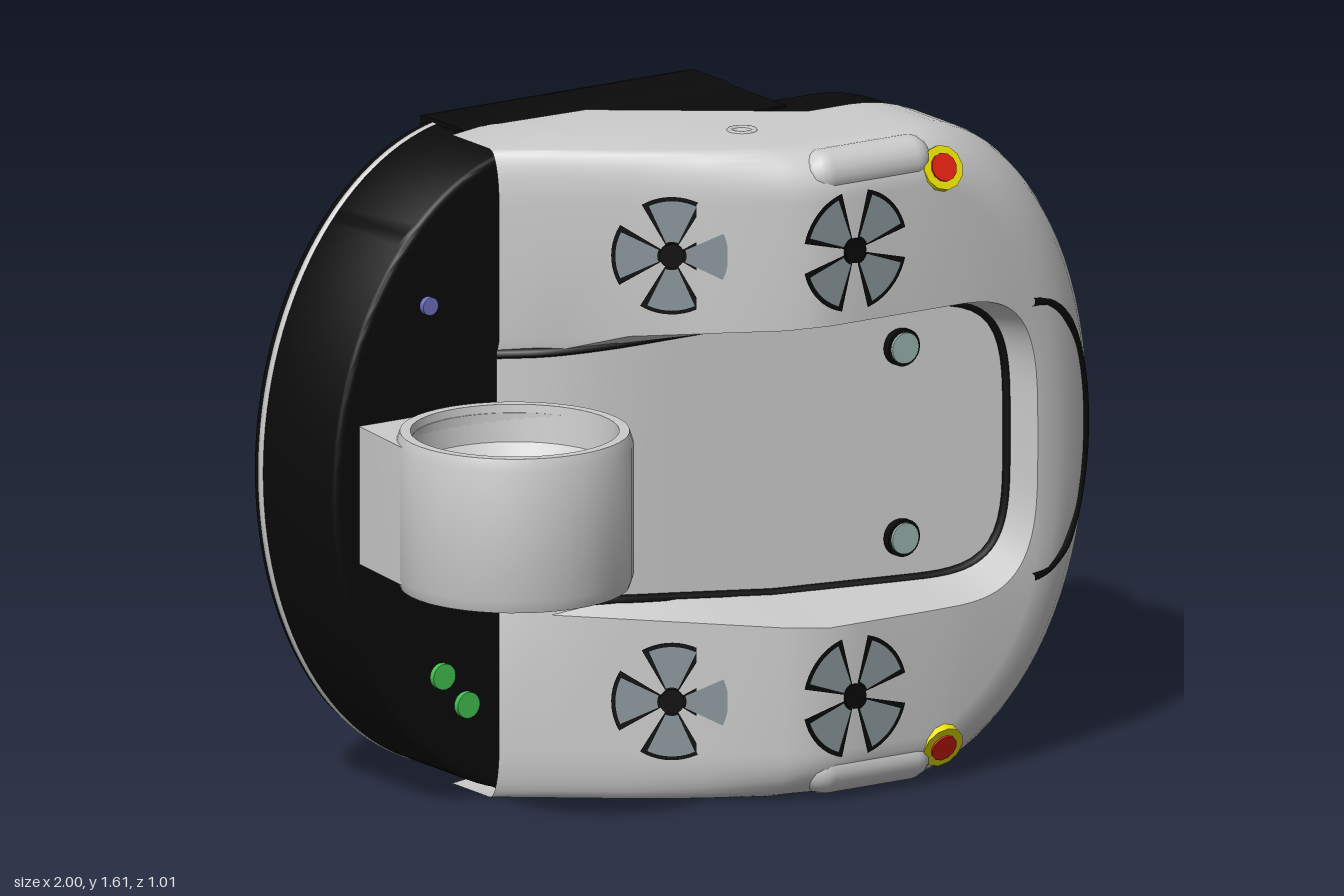
import * as THREE from 'three';
import { toCreasedNormals } from 'three/addons/utils/BufferGeometryUtils.js';

const mat = (color) => new THREE.MeshStandardMaterial({ color, side: THREE.DoubleSide });
const GREY = mat(0xcccccc), DARK = mat(0x0a0a0a), BLADE = mat(0x8a979b), BOLT = mat(0x9fb8b0);
const YELLOW = mat(0xe8e000), RED = mat(0xe02010), GREEN = mat(0x40c050), BLUE = mat(0x7070c0);
const lerp = THREE.MathUtils.lerp;

// Linear interpolation through [x, value] keys
function keyed(keys, x) {
  for (let i = 1; i < keys.length; i++) {
    const [a, va] = keys[i - 1], [b, vb] = keys[i];
    if (x <= b) return lerp(va, vb, Math.max(0, (x - a) / (b - a)));
  }
  return keys[keys.length - 1][1];
}

// Skin through equal-length cross-sections
function loft(sections) {
  const n = sections[0].length, index = [];
  for (let i = 0; i < sections.length - 1; i++)
    for (let j = 0; j < n - 1; j++) {
      const a = i * n + j, b = a + n;
      index.push(a, a + 1, b, b, a + 1, b + 1);
    }
  const g = new THREE.BufferGeometry();
  g.setAttribute('position', new THREE.Float32BufferAttribute(sections.flat(2), 3));
  g.setIndex(index);
  return toCreasedNormals(g, 0.6);
}

// Extruded plate between two z levels, with rounded edges
function plate(shape, z0, z1, bevel = 0) {
  const g = new THREE.ExtrudeGeometry(shape, {
    depth: z1 - z0 - 2 * bevel, curveSegments: 32, bevelEnabled: bevel > 0,
    bevelSize: bevel, bevelOffset: -bevel, bevelThickness: bevel, bevelSegments: 4,
  });
  g.translate(0, 0, z0 + bevel);
  return toCreasedNormals(g, 0.6);
}

const lathe = (pts, seg) =>
  toCreasedNormals(new THREE.LatheGeometry(pts.map(([r, y]) => new THREE.Vector2(r, y)), seg), 0.6);
const tube = (pts, r) => new THREE.TubeGeometry(new THREE.CatmullRomCurve3(pts), 100, r, 6);
const disc = (r, h, seg = 24) => new THREE.CylinderGeometry(r, r, h, seg).rotateX(Math.PI / 2);

// Upper surface of the lobes, lower edge of the shell sides, well floor
const topZ = (x) => keyed([[-0.55, -0.05], [0, 0.36], [0.1, 0.4], [0.4, 0.4]], x);
const baseZ = (x) => keyed([[-0.55, -0.25], [-0.45, -0.28], [-0.15, -0.27], [0.28, 0.04]], x);
const floorZ = (x, top) => Math.min(top - 0.01, 0.13 + 0.2 * x);

// Stations round the U-shaped shell: outer point, inner point, heights, edge rounding
function shellStations() {
  const side = [-0.55, -0.45, -0.3, -0.15, 0, 0.05, 0.1, 0.2, 0.28, 0.34].map((x) => ({
    o: [x, 0.8], i: [x, keyed([[-0.55, 0.3], [0.1, 0.34]], x)],
    base: baseZ(x), top: topZ(x), rz: keyed([[-0.2, 0.04], [0.1, 0.12]], x), rw: 0.26,
  }));
  const end = [];
  for (let k = 0; k <= 40; k++) {
    const t = Math.PI * (0.5 - k / 40), c = Math.max(0, Math.cos(t)), s = Math.sin(t);
    end.push({
      o: [0.4 + 0.6 * c, 0.8 * s],
      i: [0.4 + 0.3 * c ** 0.5, 0.34 * Math.sign(s) * Math.abs(s) ** 0.5],
      base: 0.04, top: lerp(0.4, 0.37, c), rz: lerp(0.12, 0.3, c), rw: lerp(0.26, 0.92, c),
    });
  }
  const flip = ({ o, i, ...r }) => ({ o: [o[0], -o[1]], i: [i[0], -i[1]], ...r });
  return [...side, ...end, ...side.map(flip).reverse()];
}

function shellSection({ o, i, base, top, rz, rw }) {
  const at = (f, z) => [lerp(o[0], i[0], f), lerp(o[1], i[1], f), z];
  const pts = [at(0, base)];
  for (let k = 0; k <= 8; k++) {
    const a = (k / 8) * Math.PI / 2;
    pts.push(at(rw * (1 - Math.cos(a)), top - rz + rz * Math.sin(a)));
  }
  return [...pts, at(0.93, top), at(1, floorZ(i[0], top))];
}

export function createModel() {
  const root = new THREE.Group(), craft = new THREE.Group();
  root.name = 'craft';
  craft.name = 'hull';
  craft.position.y = 0.8;
  root.add(craft);
  const add = (name, g, m, x = 0, y = 0, z = 0) => {
    const mesh = new THREE.Mesh(g, m);
    mesh.name = name;
    mesh.position.set(x, y, z);
    craft.add(mesh);
    return mesh;
  };

  // Front shell, sunken centre panel and its dark seams
  const st = shellStations();
  add('frontShell', loft(st.map(shellSection)), GREY);
  const seam = st.map(({ i, top }) => new THREE.Vector3(i[0], i[1], floorZ(i[0], top)));
  const half = Math.ceil(seam.length / 2);
  add('centrePanel', loft(seam.slice(0, half).map((p, k) =>
    [p.toArray(), seam[seam.length - 1 - k].toArray()])), GREY);
  add('panelSeam', tube(seam, 0.012), DARK);
  const arc = [];
  for (let k = 0; k <= 16; k++) {
    const t = Math.PI * (0.5 - k / 16), x = 0.7 + 0.21 * Math.cos(t);
    arc.push(new THREE.Vector3(x, 0.34 * Math.sin(t), keyed([[0.7, 0.372], [0.82, 0.34], [0.91, 0.285]], x)));
  }
  add('endSeam', tube(arc, 0.014), DARK);

  // Dark rim behind the shell, open where the thrusters sit
  const rim = new THREE.Shape();
  rim.moveTo(0, -0.79);
  rim.lineTo(0.4, -0.79);
  rim.absellipse(0.4, 0, 0.595, 0.79, -Math.PI / 2, Math.PI / 2);
  rim.lineTo(0, 0.79);
  for (const s of [1, -1]) {
    const well = new THREE.Path();
    well.absarc(0.5, s * 0.53, 0.19, 0, Math.PI * 2, true);
    rim.holes.push(well);
  }
  add('rearRim', plate(rim, -0.12, 0.045), DARK);

  // Rounded nose section
  const nose = new THREE.Shape();
  nose.moveTo(-0.4, 0.8);
  nose.absellipse(-0.4, 0, 0.6, 0.8, Math.PI / 2, Math.PI * 1.5);
  add('nose', plate(nose, -0.44, -0.09, 0.02), DARK);
  const stripe = [];
  for (let k = 0; k <= 32; k++) {
    const t = Math.PI * (0.53 + 0.94 * k / 32);
    stripe.push(new THREE.Vector3(-0.4 + 0.592 * Math.cos(t), 0.79 * Math.sin(t), -0.4));
  }
  add('noseStripe', tube(stripe, 0.014), GREY);

  // Back body with a notch at each rear corner
  const back = new THREE.Shape();
  back.moveTo(-0.5, -0.8);
  back.lineTo(0.28, -0.8);
  back.lineTo(0.28, -0.64);
  back.quadraticCurveTo(0.34, -0.45, 0.6, -0.45);
  back.lineTo(0.88, -0.48);
  back.quadraticCurveTo(1.0, -0.26, 1.0, 0);
  back.quadraticCurveTo(1.0, 0.26, 0.88, 0.48);
  back.lineTo(0.6, 0.45);
  back.quadraticCurveTo(0.34, 0.45, 0.28, 0.64);
  back.lineTo(0.28, 0.8);
  back.lineTo(-0.5, 0.8);
  add('backPlate', plate(back, -0.5, -0.24, 0.06), DARK);
  add('midBody', new THREE.BoxGeometry(0.78, 1.59, 0.3), DARK, -0.11, 0, -0.2);
  add('core', new THREE.BoxGeometry(0.42, 0.66, 0.24), DARK, 0.47, 0, -0.17);

  // Raised panels and hatch on the back
  for (const y of [-0.5, 0, 0.5])
    add('backPanel', new THREE.BoxGeometry(0.6, 0.46, 0.02), DARK, -0.1, y, -0.496);
  add('tailPanel', new THREE.BoxGeometry(0.5, 0.72, 0.02), DARK, 0.6, 0, -0.496);
  const octagon = (path, w, h, c) => path.setFromPoints([[w, h - c], [w - c, h], [c - w, h], [-w, h - c],
    [-w, c - h], [c - w, -h], [w - c, -h], [w, c - h]].map(([x, y]) => new THREE.Vector2(x, y)));
  const hatch = octagon(new THREE.Shape(), 0.13, 0.22, 0.05);
  hatch.holes.push(octagon(new THREE.Path(), 0.1, 0.17, 0.03));
  add('hatchFrame', plate(hatch, -0.452, -0.43), DARK, -0.73);

  // Ring and its mount
  const mount = new THREE.Shape();
  mount.moveTo(-0.24, -0.32);
  mount.lineTo(0.2, -0.32);
  mount.lineTo(0.27, 0);
  mount.absarc(0, 0, 0.27, 0, Math.PI, false);
  mount.lineTo(-0.27, -0.1);
  const bore = new THREE.Path();
  bore.absarc(0, 0, 0.25, 0, Math.PI * 2, true);
  mount.holes.push(bore);
  const mg = new THREE.ExtrudeGeometry(mount, { depth: 0.34, bevelEnabled: false, curveSegments: 32 });
  mg.translate(0, 0, -0.17).rotateX(Math.PI / 2);
  add('ringMount', toCreasedNormals(mg, 0.6), GREY, -0.685, 0, 0.22);
  add('ring', lathe([[0.18, -0.04], [0.24, -0.1], [0.25, -0.19], [0.275, -0.19], [0.285, -0.16], [0.285, 0.16],
    [0.275, 0.19], [0.25, 0.19], [0.24, 0.1], [0.18, 0.04], [0.18, -0.04]], 48), GREY, -0.685, 0, 0.215);

  for (const s of [1, -1]) {
    // Fans on the lobes
    for (const [x, r, tilt] of [[-0.22, 0.145, -0.6], [0.17, 0.15, 0]]) {
      const fan = new THREE.Group();
      fan.name = 'fan';
      fan.position.set(x, s * 0.55, topZ(x) + 0.003);
      fan.rotation.y = tilt;
      for (let k = 0; k < 4; k++) {
        const a = k * Math.PI / 2 + (x < 0 ? 1.12 : 0.35);
        const blade = new THREE.Mesh(new THREE.RingGeometry(0.035, r - 0.01, 10, 1, a, 0.87), BLADE);
        const edge = new THREE.Mesh(new THREE.RingGeometry(0.03, r, 10, 1, a - 0.1, 1.07), DARK);
        blade.position.z = 0.003;
        blade.name = 'blade';
        edge.name = 'bladeSlot';
        fan.add(edge, blade);
      }
      const hub = new THREE.Mesh(disc(0.03, 0.01), DARK);
      hub.name = 'hub';
      fan.add(hub);
      craft.add(fan);
    }

    // Lamp and its housing at the outer edge
    add('lampHousing', new THREE.CapsuleGeometry(0.06, 0.24, 6, 16).rotateZ(Math.PI / 2), GREY, 0.24, s * 0.735, 0.338);
    const tilt = -s * 0.4;
    add('lampBase', disc(0.072, 0.03, 12), DARK, 0.43, s * 0.695, 0.345).rotation.x = tilt;
    add('lampCollar', disc(0.055, 0.08, 12), YELLOW, 0.43, s * 0.7, 0.36).rotation.x = tilt;
    add('lampLens', disc(0.035, 0.09, 12), RED, 0.43, s * 0.7, 0.36).rotation.x = tilt;

    // Panel bolts and side socket
    add('panelBolt', disc(0.038, 0.03), BOLT, 0.43, s * 0.235, 0.222);
    add('boltRim', disc(0.046, 0.02), DARK, 0.43, s * 0.235, 0.22);
    add('sideSocket', new THREE.TorusGeometry(0.03, 0.01, 6, 20).rotateX(Math.PI / 2), GREY, 0.05, s * 0.795, 0.1);

    // Deep thruster bowl in the rear notch, with grey vanes at its bottom
    add('thrusterBowl', lathe([[0.2, 0.2], [0.2, 0], [0.18, 0], [0.165, 0.09], [0.15, 0.17], [0, 0.17]], 32)
      .rotateX(Math.PI / 2), DARK, 0.5, s * 0.53, -0.2);
    for (let k = 0; k < 10; k++)
      add('thrusterVane', new THREE.RingGeometry(0.06, 0.13, 3, 1, k * Math.PI / 5, 0.3), GREY, 0.5, s * 0.53, -0.036);
    add('thrusterHub', disc(0.045, 0.03), DARK, 0.5, s * 0.53, -0.04);
  }

  // Small nose lights and tail block
  add('noseLight', disc(0.022, 0.02), BLUE, -0.73, 0.44, -0.085);
  add('noseLight', disc(0.032, 0.02), GREEN, -0.69, -0.48, -0.085);
  add('noseLight', disc(0.032, 0.02), GREEN, -0.62, -0.56, -0.085);
  add('tailBlock', new THREE.BoxGeometry(0.05, 0.13, 0.12), mat(0x555555), 0.973, 0, 0.11);
  return root;
}
